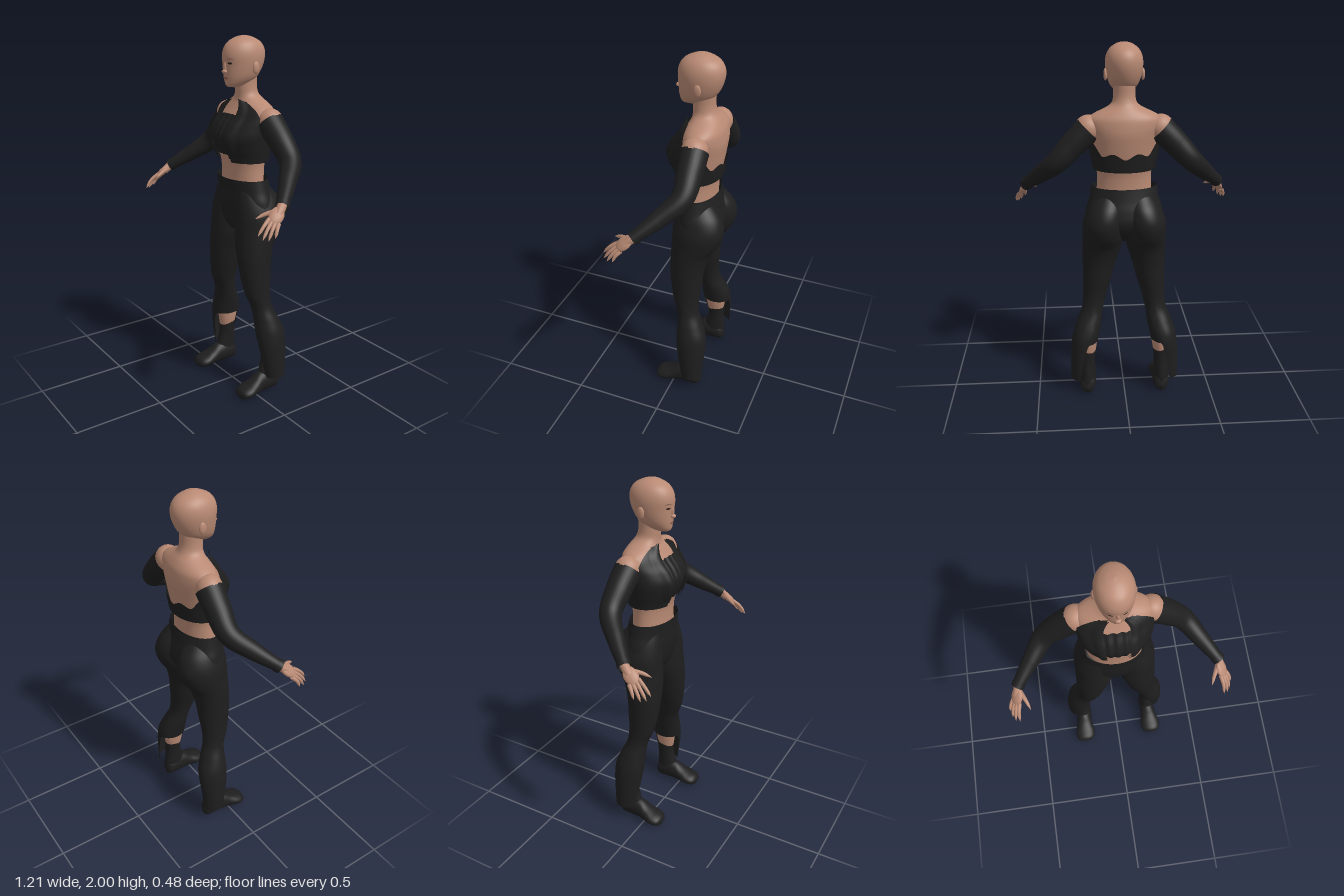
import * as THREE from 'three';

const V = (x, y, z) => new THREE.Vector3(x, y, z);
const mat = (name, color) => new THREE.MeshStandardMaterial({ name, color, side: THREE.DoubleSide });
const smooth = THREE.MathUtils.smoothstep;

// Smoothly interpolate cross-section rows [y, centreX, halfWidth, frontZ, backZ] (ascending y)
function sample(rows, y) {
  const n = rows.length;
  let i = 0;
  while (i < n - 2 && y > rows[i + 1][0]) i++;
  const a = rows[i], b = rows[i + 1], h = b[0] - a[0];
  const t = Math.min(1, Math.max(0, (y - a[0]) / h));
  const slope = (k, c) => {
    const p = rows[Math.max(0, k - 1)], q = rows[Math.min(n - 1, k + 1)];
    return (q[c] - p[c]) / (q[0] - p[0]);
  };
  return [1, 2, 3, 4].map((c) => {
    const t2 = t * t, t3 = t2 * t;
    return (2 * t3 - 3 * t2 + 1) * a[c] + (t3 - 2 * t2 + t) * h * slope(i, c)
      + (3 * t2 - 2 * t3) * b[c] + (t3 - t2) * h * slope(i + 1, c);
  });
}

// Skin a set of rows; lo, hi and off may vary with the angle a (0 = front, +x at a quarter turn)
function surface(rows, { lo, hi, off = 0, a0 = 0, a1 = Math.PI * 2, nu = 48, nv = 40 } = {}) {
  const fn = (f, d) => (typeof f === 'function' ? f : () => f ?? d);
  const L = fn(lo, rows[0][0]), H = fn(hi, rows[rows.length - 1][0]), O = fn(off, 0);
  const closed = a1 - a0 > 6.28, cols = closed ? nu : nu + 1;
  const pos = [], idx = [];
  for (let j = 0; j <= nv; j++) for (let i = 0; i < cols; i++) {
    const a = a0 + (a1 - a0) * i / nu, y = L(a) + (H(a) - L(a)) * j / nv;
    const [cx, rx, zf, zb] = sample(rows, y), o = O(a, y);
    pos.push(cx + (rx + o) * Math.sin(a), y, (zf + zb) / 2 + ((zf - zb) / 2 + o) * Math.cos(a));
  }
  for (let j = 0; j < nv; j++) for (let i = 0; i < nu; i++) {
    const p = j * cols + i, q = j * cols + (i + 1) % cols;
    idx.push(p, q, q + cols, p, q + cols, p + cols);
  }
  const g = new THREE.BufferGeometry();
  g.setAttribute('position', new THREE.Float32BufferAttribute(pos, 3));
  g.setIndex(idx);
  g.computeVertexNormals();
  return g;
}

// Tube along a curve with a radius given at each point
function limb(points, radii, seg = 30, sides = 20) {
  const g = new THREE.TubeGeometry(new THREE.CatmullRomCurve3(points), seg, 1, sides);
  const p = g.attributes.position, n = g.attributes.normal;
  for (let k = 0; k < p.count; k++) {
    const u = Math.floor(k / (sides + 1)) / seg * (radii.length - 1);
    const i = Math.min(radii.length - 2, Math.floor(u));
    const d = THREE.MathUtils.lerp(radii[i], radii[i + 1], u - i) - 1;
    p.setXYZ(k, p.getX(k) + n.getX(k) * d, p.getY(k) + n.getY(k) * d, p.getZ(k) + n.getZ(k) * d);
  }
  return g;
}

const ball = (x, y, z, sx, sy, sz) => new THREE.SphereGeometry(1, 24, 16).scale(sx, sy, sz).translate(x, y, z);

function mirrored(g) {
  const m = g.clone().scale(-1, 1, 1), ix = m.index;
  for (let k = 0; k < ix.count; k += 3) {
    const t = ix.getX(k);
    ix.setX(k, ix.getX(k + 2));
    ix.setX(k + 2, t);
  }
  return m;
}

const TORSO = [
  [1.20, 0, .15, .025, -.165], [1.30, 0, .145, .028, -.17], [1.36, 0, .153, .04, -.182], [1.42, 0, .17, .066, -.195],
  [1.48, 0, .182, .078, -.205], [1.54, 0, .19, .052, -.213], [1.58, 0, .197, .02, -.211], [1.62, 0, .19, -.006, -.204],
  [1.645, 0, .155, -.02, -.192], [1.665, 0, .11, -.03, -.18], [1.69, 0, .07, -.032, -.162],
  [1.73, 0, .058, -.03, -.15], [1.80, 0, .058, -.03, -.15]];
const HEAD = [
  [1.732, 0, .001, -.01, -.012], [1.735, 0, .022, .02, -.045], [1.745, 0, .04, .034, -.075], [1.77, 0, .065, .04, -.13],
  [1.80, 0, .081, .043, -.16], [1.85, 0, .094, .045, -.185], [1.90, 0, .098, .048, -.195], [1.94, 0, .09, .037, -.187],
  [1.97, 0, .071, .012, -.162], [1.99, 0, .042, -.028, -.122], [1.997, 0, .022, -.052, -.098], [2.0, 0, .001, -.074, -.076]];
const HIPS = [
  [.925, 0, .01, -.05, -.09], [.95, 0, .06, 0, -.14], [1.0, 0, .16, .025, -.19], [1.06, 0, .21, .037, -.215],
  [1.12, 0, .207, .042, -.208], [1.18, 0, .188, .04, -.192], [1.245, 0, .172, .042, -.178]];
const LEG = [
  [.10, .242, .068, -.055, -.185], [.20, .24, .07, -.04, -.19], [.30, .232, .073, -.025, -.195], [.38, .219, .075, -.02, -.19],
  [.45, .2, .07, -.02, -.163], [.52, .181, .061, -.012, -.135], [.60, .167, .066, .018, -.13], [.70, .151, .08, .036, -.14],
  [.80, .138, .093, .045, -.15], [.90, .122, .108, .045, -.178], [.97, .116, .113, .042, -.222],
  [1.05, .113, .113, .038, -.246], [1.13, .1, .1, .03, -.226], [1.2, .085, .075, .02, -.17]];
const CALF = [[.22, .213, .038, -.065, -.15], [.30, .206, .045, -.05, -.165], [.38, .205, .052, -.04, -.17], [.46, .2, .05, -.04, -.15]];
const SHAFT = [[.06, .217, .045, -.02, -.165], [.12, .216, .043, -.04, -.163], [.2, .213, .041, -.06, -.157], [.275, .209, .043, -.058, -.16]];
// Foot rows run along z: [z, centreX, halfWidth, -sole, -top]
const FOOT = [
  [-.168, .215, .002, -.04, -.045], [-.163, .215, .026, -.012, -.08], [-.14, .215, .043, -.002, -.11], [-.08, .215, .047, 0, -.13],
  [-.03, .217, .048, 0, -.118], [.01, .22, .055, 0, -.092], [.05, .222, .063, 0, -.073], [.085, .223, .056, 0, -.06],
  [.105, .224, .036, -.006, -.046], [.112, .224, .002, -.025, -.027]];

export function createModel() {
  const model = new THREE.Group();
  const skin = mat('skin', 0xb98a74), black = mat('black cloth', 0x1e1e1e);
  const dark = mat('eye', 0x33241f), brow = mat('brow', 0x8a6352), lip = mat('lip', 0x935f52);
  const add = (name, g, m) => {
    const mesh = new THREE.Mesh(g, m);
    mesh.name = name;
    model.add(mesh);
  };
  const pair = (name, g, m) => {
    add(name + 'Left', g, m);
    add(name + 'Right', mirrored(g), m);
  };

  // Body and head
  add('torso', surface(TORSO, { nv: 60 }), skin);
  add('head', surface(HEAD, { nv: 60 }), skin);
  pair('shoulder', ball(.19, 1.565, -.11, .071, .071, .068), skin);
  pair('calf', surface(CALF, { nv: 10, nu: 24 }), skin);

  // Face
  add('noseBridge', ball(0, 1.84, .043, .009, .03, .01), skin);
  add('noseTip', ball(0, 1.818, .049, .016, .011, .014), skin);
  pair('ear', ball(.097, 1.838, -.085, .01, .032, .02).rotateZ(0), skin);
  const lens = (a0, a1, y, h, lift = 0) => {
    const u = (a) => Math.sin(Math.PI * (a - a0) / (a1 - a0));
    return { a0, a1, nu: 12, nv: 4, off: .002, lo: (a) => y + (lift - h) * u(a), hi: (a) => y + (lift + h) * u(a) };
  };
  pair('eye', surface(HEAD, lens(.22, .52, 1.862, .006)), dark);
  pair('brow', surface(HEAD, lens(.16, .6, 1.88, .003, .005)), brow);
  add('lips', surface(HEAD, lens(-.3, .3, 1.783, .007)), lip);

  // Pleated top
  add('top', surface(TORSO, {
    a0: -.55, a1: .55, nu: 44, nv: 16, lo: 1.38, hi: (a) => 1.595 - .03 * a * a,
    off: (a) => .006 + .003 * Math.cos(a * 28) }), black);

  // Cropped open jacket: the neckline drops from the collar to a wavy low back
  const neckline = [[.3, 1.672], [.75, 1.652], [1.2, 1.575], [1.6, 1.56], [2.0, 1.51], [2.4, 1.44], [3.15, 1.425]];
  const jacketTop = (a) => {
    const b = Math.min(a, Math.PI * 2 - a);
    let i = 0;
    while (i < neckline.length - 2 && b > neckline[i + 1][0]) i++;
    const [p, q] = [neckline[i], neckline[i + 1]];
    const wave = .012 * smooth(b, 1.8, 2.4) * Math.cos(b * 9);
    return THREE.MathUtils.mapLinear(b, p[0], q[0], p[1], q[1]) + wave;
  };
  add('jacket', surface(TORSO, {
    a0: .33, a1: Math.PI * 2 - .33, nu: 110, nv: 30, lo: 1.342, hi: jacketTop,
    off: (a, y) => .011 + .007 * (1 - smooth(y, 1.34, 1.45)) }), black);
  pair('lapel', surface(TORSO, {
    a0: .31, a1: .68, nu: 14, nv: 30, lo: (a) => 1.36 + .1 * (a - .31), hi: (a) => 1.676 - .04 * (a - .31),
    off: (a) => .012 + .014 * Math.sin(Math.PI * smooth(a, .1, .7)) }), black);

  // Sleeves with a small cuff
  pair('sleeve', limb(
    [V(.19, 1.56, -.11), V(.27, 1.482, -.115), V(.36, 1.385, -.11), V(.45, 1.298, -.02), V(.535, 1.218, .078)],
    [.074, .067, .056, .045, .031], 40, 28), black);
  pair('cuff', limb([V(.518, 1.234, .058), V(.528, 1.224, .07), V(.538, 1.215, .082)], [.033, .037, .035], 6, 24), black);

  // Hands: flattened palm, four fingers and a thumb
  const along = V(.03, -.075, .085).normalize(), across = V(-.045, .01, .075);
  across.addScaledVector(along, -across.dot(along)).normalize();
  const palm = ball(0, 0, 0, .037, .054, .018).applyMatrix4(
    new THREE.Matrix4().makeBasis(across, along, V(0, 0, 0).crossVectors(across, along)).setPosition(.548, 1.183, .123));
  pair('palm', palm, skin);
  pair('wrist', limb([V(.515, 1.237, .055), V(.535, 1.212, .085), V(.548, 1.185, .115)], [.024, .024, .022], 8, 16), skin);
  const tips = [V(.553, 1.102, .238), V(.576, 1.086, .226), V(.591, 1.082, .202), V(.6, 1.092, .168)];
  tips.forEach((tip, i) => {
    const base = V(.557, 1.162, .145).addScaledVector(across, .026 - .0175 * i);
    const mid = base.clone().lerp(tip, .5).add(V(.004, .006, .003));
    pair('finger' + (i + 1), limb([base, mid, tip], [.011, .0105, .009, .0085, .001], 14, 10), skin);
  });
  pair('thumb', limb([V(.535, 1.2, .1), V(.505, 1.188, .155), V(.485, 1.166, .203)], [.017, .014, .011, .009, .001], 14, 10), skin);

  // Trousers: hips, waistband, and legs whose hems are cut away on the inner side
  add('trouserHips', surface(HIPS), black);
  add('waistband', surface(HIPS, { lo: 1.212, hi: 1.247, nv: 4, off: .005 }), black);
  pair('trouserLeg', surface(LEG, {
    nu: 64, nv: 90, lo: (a) => .1 + .235 * smooth(-Math.sin(a), -.3, .3) }), black);

  // Boots
  pair('bootShaft', surface(SHAFT, { nv: 12, nu: 28 }), black);
  pair('bootFoot', surface(FOOT, { nv: 40, nu: 28 }).rotateX(Math.PI / 2), black);
  return model;
}
